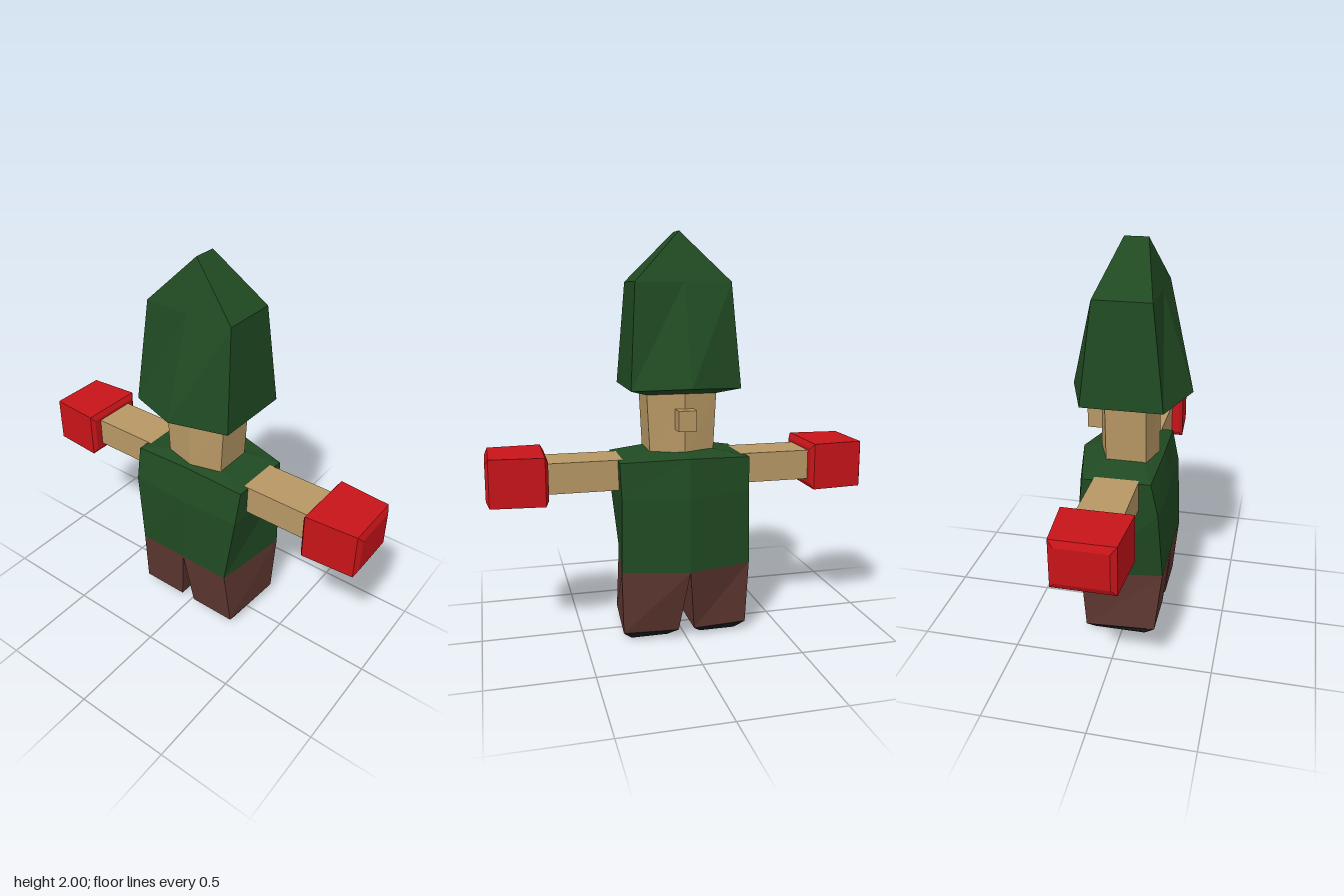
import * as THREE from 'three';

const mat = (color) => new THREE.MeshStandardMaterial({ color, flatShading: true });

// Closed faceted solid through rings that run counter-clockwise seen from the last ring's end
function loft(name, rings, material) {
  const pos = [];
  const tri = (a, b, c) => {
    const [A, B, C] = [a, b, c].map((p) => new THREE.Vector3(...p));
    if (B.clone().sub(A).cross(C.clone().sub(A)).length() > 1e-7) pos.push(...a, ...b, ...c);
  };
  const n = rings[0].length;
  for (let r = 0; r < rings.length - 1; r++) {
    for (let i = 0; i < n; i++) {
      const j = (i + 1) % n, lo = rings[r], hi = rings[r + 1];
      tri(lo[i], lo[j], hi[j]);
      tri(lo[i], hi[j], hi[i]);
    }
  }
  const first = rings[0], last = rings[rings.length - 1];
  for (let i = 1; i < n - 1; i++) {
    tri(first[0], first[i + 1], first[i]);
    tri(last[0], last[i], last[i + 1]);
  }
  const geo = new THREE.BufferGeometry();
  geo.setAttribute('position', new THREE.Float32BufferAttribute(pos, 3));
  geo.computeVertexNormals();
  const mesh = new THREE.Mesh(geo, material);
  mesh.name = name;
  return mesh;
}

const mirror = (rings) => rings.map((ring) => ring.map(([x, y, z]) => [-x, y, z]).reverse());

// Six-sided section: front corners, front middle, back corners, back middle
const hex = (y, fx, fz, fm, bx, bz, bm, ym = y) => [
  [-fx, y, fz], [0, ym, fm], [fx, y, fz], [bx, y, bz], [0, ym, bm], [-bx, y, bz],
];

// Rectangular section across the x axis
const slab = (x, y0, y1, z0, z1) => [[x, y0, z0], [x, y1, z0], [x, y1, z1], [x, y0, z1]];

export function createModel() {
  const model = new THREE.Group();
  model.name = 'figure';
  const green = mat(0x204a22), tan = mat(0xb89865), red = mat(0xc81419);
  const brown = mat(0x5e3630), black = mat(0x1c1c1f);

  // Pointed hat ending in a short ridge
  model.add(loft('hat', [
    hex(1.22, 0.17, 0.09, 0.12, 0.17, -0.09, -0.12),
    hex(1.255, 0.27, 0.2, 0.3, 0.27, -0.2, -0.3, 1.27),
    hex(1.76, 0.235, 0.14, 0.147, 0.235, -0.14, -0.147),
    hex(2, 0, 0.075, 0.075, 0, -0.04, -0.04),
  ], green));

  // Head and nose
  model.add(loft('head', [
    hex(0.92, 0.16, 0.1, 0.14, 0.16, -0.1, -0.16),
    hex(1.23, 0.175, 0.1, 0.14, 0.175, -0.1, -0.16),
  ], tan));
  const nose = new THREE.Mesh(new THREE.BoxGeometry(0.09, 0.1, 0.1), tan);
  nose.name = 'nose';
  nose.position.set(0, 1.107, -0.17);
  model.add(nose);

  // Tunic with a keeled back
  model.add(loft('tunic', [
    hex(0.37, 0.27, 0.21, 0.21, 0.325, -0.2, -0.28),
    hex(0.74, 0.315, 0.19, 0.2, 0.32, -0.2, -0.28),
    hex(0.91, 0.32, 0.155, 0.165, 0.325, -0.18, -0.255, 0.93),
    hex(0.95, 0.14, 0.08, 0.11, 0.14, -0.09, -0.13),
  ], green));

  // Arms, mittens, legs and shoes on both sides
  const sole = [[0.085, 0, 0.12], [0.27, 0, 0.12], [0.27, 0, -0.14], [0.085, 0, -0.14]];
  const ankle = [[0.04, 0.045, 0.175], [0.29, 0.045, 0.175], [0.315, 0.045, -0.18], [0.04, 0.045, -0.2]];
  const hip = [[0, 0.37, 0.21], [0.27, 0.37, 0.21], [0.325, 0.37, -0.2], [0, 0.37, -0.28]];
  const limbs = [
    ['Arm', [slab(0.28, 0.765, 0.915, -0.125, 0.095), slab(0.68, 0.765, 0.915, -0.125, 0.095)], tan],
    ['Mitten', [
      slab(0.66, 0.745, 0.93, -0.16, 0.135),
      slab(0.675, 0.72, 0.955, -0.18, 0.155),
      slab(0.935, 0.72, 0.955, -0.157, 0.137),
      slab(0.95, 0.75, 0.925, -0.13, 0.11),
    ], red],
    ['Leg', [ankle, hip], brown],
    ['Shoe', [sole, ankle], black],
  ];
  for (const [part, rings, material] of limbs) {
    model.add(loft('left' + part, rings, material));
    model.add(loft('right' + part, mirror(rings), material));
  }
  return model;
}
